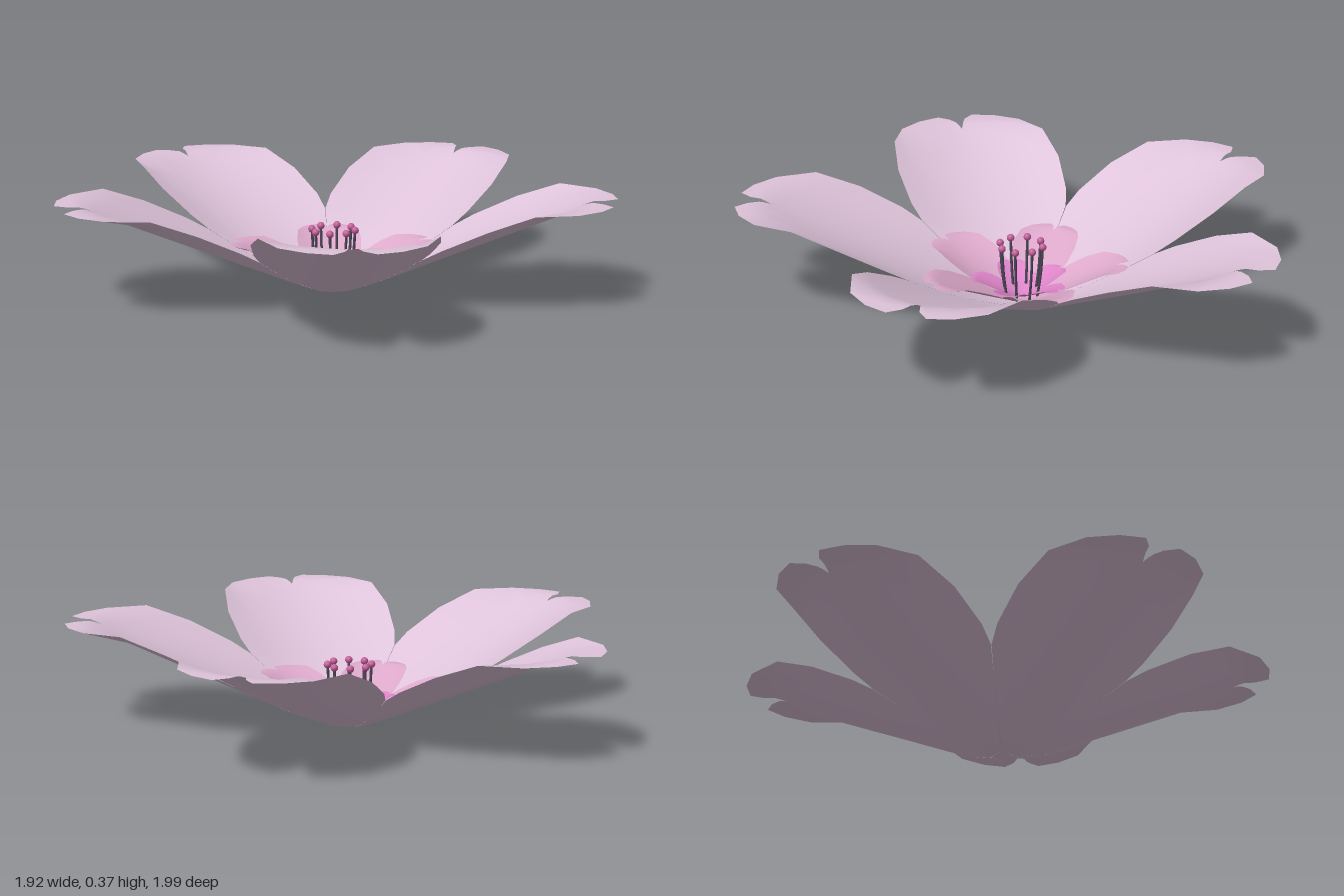
import * as THREE from 'three';

const mat = (name, color, side = THREE.FrontSide) => {
  const m = new THREE.MeshStandardMaterial({ color, side });
  m.name = name;
  return m;
};

// Half outline of a petal: [edge distance, edge half width, midline distance]
const ROWS = [
  [0.001, 0.0007, 0.001], [0.07, 0.05, 0.08], [0.2, 0.145, 0.2], [0.32, 0.232, 0.31],
  [0.39, 0.282, 0.38], [0.465, 0.305, 0.46], [0.625, 0.32, 0.6], [0.785, 0.3, 0.72],
  [0.925, 0.24, 0.8], [0.995, 0.155, 0.85], [1.025, 0.07, 0.885], [0.985, 0.03, 0.906],
];

// Sloping cup with raised sides, levelling off at the rim
function petalHeight(u, v) {
  const y = 0.433 * (u - 0.085) + 0.74 * v * v;
  return Math.max(0, Math.min(0.37, y));
}

// Notched petal pointing along +x
function petalGeometry() {
  const cols = 8, pos = [], index = [];
  ROWS.forEach(([edge, half, mid], r) => {
    for (let c = 0; c <= cols; c++) {
      const t = (c / cols) * 2 - 1;
      const u = mid + (edge - mid) * Math.abs(t), v = half * t;
      pos.push(u, petalHeight(u, v), v);
      if (r < ROWS.length - 1 && c < cols) {
        const a = r * (cols + 1) + c, b = a + cols + 1;
        index.push(a, a + 1, b, a + 1, b + 1, b);
      }
    }
  });
  const g = new THREE.BufferGeometry();
  g.setAttribute('position', new THREE.Float32BufferAttribute(pos, 3));
  g.setIndex(index);
  g.computeVertexNormals();
  return g;
}

export function createModel() {
  const flower = new THREE.Group();
  flower.name = 'flower';
  const petal = petalGeometry();

  // Three nested rings of five petals, the middle ring turned half a step
  const rings = [
    ['outerPetal', 1, 0, Math.PI, mat('pale pink', 0xdec3da, THREE.DoubleSide)],
    ['middlePetal', 0.38, 0.008, 0, mat('rose pink', 0xdca8ca, THREE.DoubleSide)],
    ['innerPetal', 0.18, 0.018, Math.PI, mat('magenta pink', 0xdc84c8, THREE.DoubleSide)],
  ];
  for (const [name, scale, y, turn, material] of rings) {
    const ring = new THREE.Group();
    ring.name = name + 'Ring';
    for (let i = 0; i < 5; i++) {
      const p = new THREE.Mesh(petal, material);
      p.name = name;
      p.rotation.y = turn + (i * Math.PI * 2) / 5;
      ring.add(p);
    }
    ring.scale.setScalar(scale);
    ring.position.y = y;
    flower.add(ring);
  }

  // Eight stamens: thin stalks leaning slightly outwards, each with a round tip
  const stalkMat = mat('dark stalk', 0x4c4858), tipMat = mat('deep pink', 0xc4609c);
  const tipGeo = new THREE.SphereGeometry(0.014, 12, 8);
  for (let i = 0; i < 8; i++) {
    const a = THREE.MathUtils.degToRad(14 + 45 * i);
    const at = (r, y) => new THREE.Vector3(r * Math.cos(a), y, -r * Math.sin(a));
    const top = at(0.08, 0.215);
    const curve = new THREE.CatmullRomCurve3([at(0.06, 0.018), at(0.073, 0.11), top]);
    const stalk = new THREE.Mesh(new THREE.TubeGeometry(curve, 6, 0.005, 6), stalkMat);
    stalk.name = 'stamenStalk';
    const tip = new THREE.Mesh(tipGeo, tipMat);
    tip.name = 'stamenTip';
    tip.position.copy(top);
    flower.add(stalk, tip);
  }

  flower.position.x = 0.062;
  const model = new THREE.Group();
  model.name = 'blossom';
  model.add(flower);
  return model;
}
